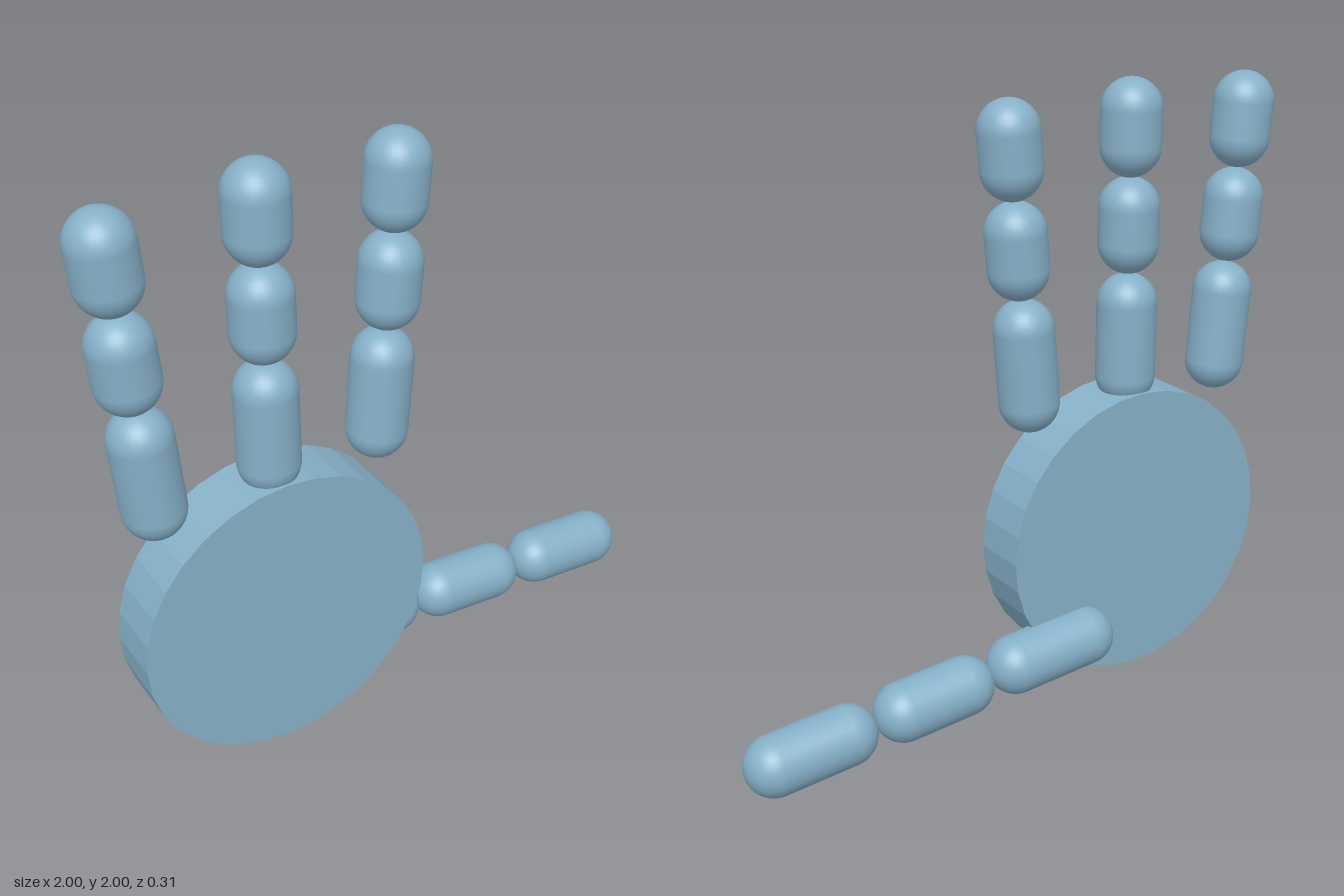
import * as THREE from 'three';

const R = 0.097; // finger radius
const AXIS_X = -0.455; // palm centre line

export function createModel() {
  const group = new THREE.Group();
  const skin = new THREE.MeshStandardMaterial({ color: 0x86b0c8 });
  const palmSkin = new THREE.MeshStandardMaterial({ color: 0x86b0c8, flatShading: true });

  // One capsule segment: centre, overall length, tilt about z
  function segment(parent, name, x, y, length, tilt) {
    const geo = new THREE.CapsuleGeometry(R, length - 2 * R, 10, 32);
    const mesh = new THREE.Mesh(geo, skin);
    mesh.name = name;
    mesh.position.set(x, y, 0);
    mesh.rotation.z = tilt;
    parent.add(mesh);
  }

  function digit(name, z) {
    const g = new THREE.Group();
    g.name = name;
    g.position.z = z;
    group.add(g);
    return g;
  }

  // Round palm disc
  const palm = new THREE.Mesh(new THREE.CylinderGeometry(0.487, 0.487, 0.194, 32), palmSkin);
  palm.name = 'palm';
  palm.rotation.x = Math.PI / 2;
  palm.position.set(AXIS_X, 0.515, 0.055);
  group.add(palm);

  // Middle finger
  const middle = digit('middleFinger', 0.055);
  segment(middle, 'base', AXIS_X, 1.163, 0.436, 0);
  segment(middle, 'knuckle', AXIS_X, 1.537, 0.31, 0);
  segment(middle, 'tip', AXIS_X, 1.845, 0.31, 0);

  // Outer fingers, mirrored about the palm's centre line
  for (const s of [-1, 1]) {
    const finger = digit(s < 0 ? 'rightFinger' : 'leftFinger', 0.055);
    const tilt = -s * 0.085;
    segment(finger, 'base', AXIS_X + s * 0.384, 1.142, 0.436, tilt);
    segment(finger, 'knuckle', AXIS_X + s * 0.419, 1.515, 0.31, tilt);
    segment(finger, 'tip', AXIS_X + s * 0.443, 1.825, 0.31, tilt);
  }

  // Thumb, set behind the palm and pointing sideways
  const thumb = digit('thumb', -0.057);
  const lean = -Math.PI / 2 - 0.085;
  segment(thumb, 'base', -0.092, 0.188, 0.466, lean);
  segment(thumb, 'knuckle', 0.348, 0.148, 0.416, lean);
  segment(thumb, 'tip', 0.778, 0.111, 0.437, lean);

  return group;
}
